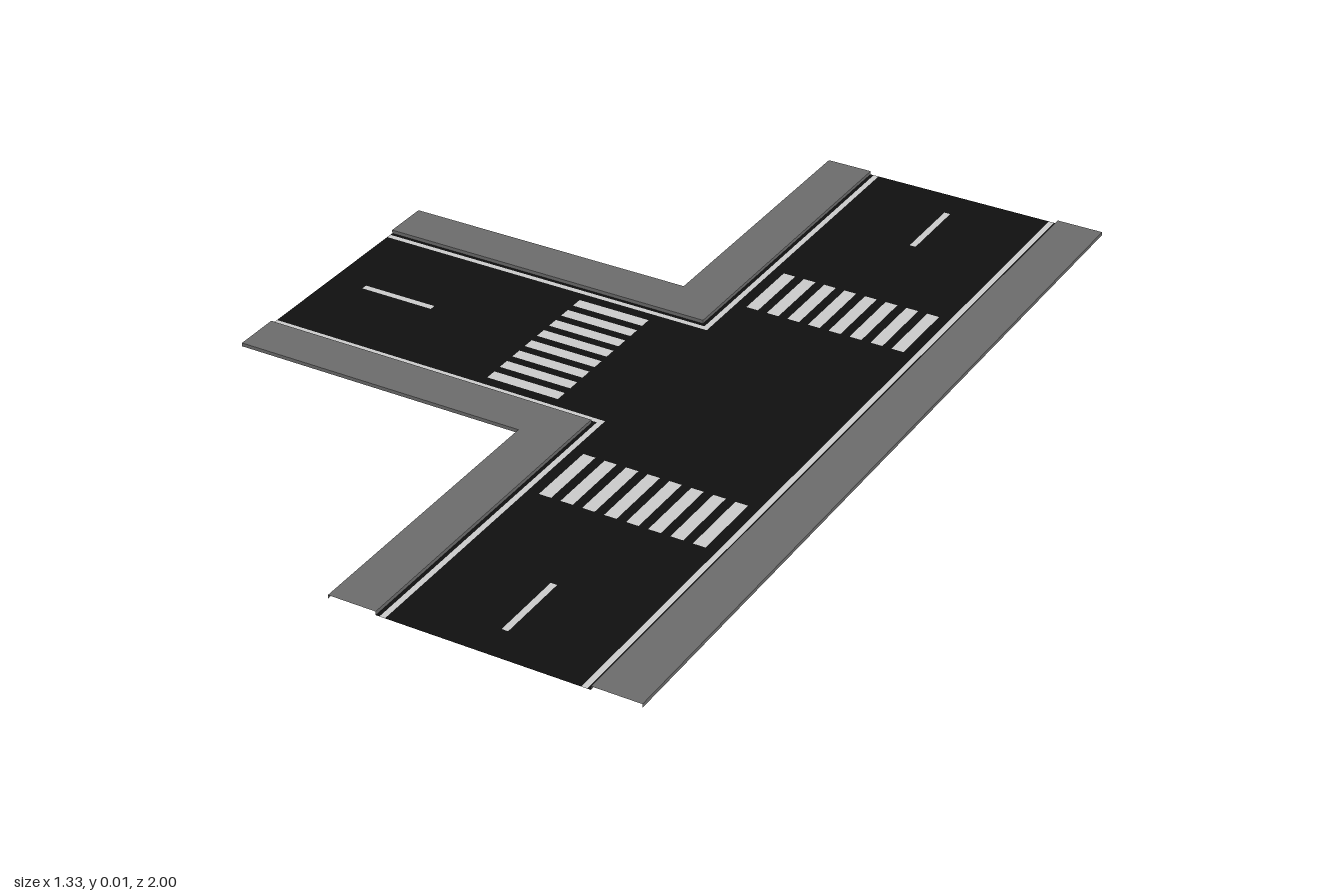
import * as THREE from 'three';

const CX = 0.333;      // centre line of the through road
const WEST = -0.667;   // end of the side road
const CURB = 0.008;    // pavement height
const LINE_IN = 0.208, LINE_OUT = 0.22, ROAD_EDGE = 0.228, WALK_EDGE = 0.333;

const material = (color) => new THREE.MeshStandardMaterial({ color, roughness: 0.9, side: THREE.DoubleSide });

// The three kerb lines at distance d from the road centre lines, in plan (x, -z)
const kerbLines = (d) => [
  [[WEST, d], [CX - d, d], [CX - d, 1]],
  [[WEST, -d], [CX - d, -d], [CX - d, -1]],
  [[CX + d, -1], [CX + d, 1]],
];

const toPoints = (list) => list.map(([x, y]) => new THREE.Vector2(x, y));

// Flat strips between two distances from the centre lines
function strips(a, b) {
  const outer = kerbLines(b);
  return kerbLines(a).map((line, i) => new THREE.Shape(toPoints([...line, ...outer[i].reverse()])));
}

// Plan rectangle given by centre and size
function rectangle(x, y, w, h) {
  return toPoints([
    [x - w / 2, y - h / 2], [x + w / 2, y - h / 2],
    [x + w / 2, y + h / 2], [x - w / 2, y + h / 2],
  ]);
}

export function createModel() {
  const group = new THREE.Group();
  const asphalt = material(0x101010);
  const paint = material(0xcccccc);
  const paving = material(0x6c6c6c);

  function addFlat(name, shapes, mat, y = 0) {
    const geometry = new THREE.ShapeGeometry(shapes);
    geometry.rotateX(-Math.PI / 2);
    const mesh = new THREE.Mesh(geometry, mat);
    mesh.name = name;
    mesh.position.y = y;
    group.add(mesh);
  }

  // Upright faces along the kerb lines at distance d
  function addWalls(name, d) {
    const walls = new THREE.Group();
    walls.name = name;
    for (const line of kerbLines(d)) {
      for (let i = 1; i < line.length; i++) {
        const [x0, y0] = line[i - 1], [x1, y1] = line[i];
        const wall = new THREE.Mesh(
          new THREE.PlaneGeometry(Math.hypot(x1 - x0, y1 - y0), CURB), paving);
        wall.position.set((x0 + x1) / 2, CURB / 2, -(y0 + y1) / 2);
        wall.rotation.y = Math.atan2(y1 - y0, x1 - x0);
        walls.add(wall);
      }
    }
    group.add(walls);
  }

  // Zebra crossings, eight bars on each arm
  const crossings = [], dashes = [];
  for (let i = 0; i < 8; i++) {
    const offset = (i - 3.5) * 0.0484;
    crossings.push(rectangle(-0.083, offset, 0.167, 0.0275));
    for (const side of [-1, 1]) {
      crossings.push(rectangle(CX + offset, side * 0.418, 0.0275, 0.167));
    }
  }

  // Centre dashes
  dashes.push(rectangle(-0.502, 0, 0.172, 0.014));
  for (const side of [-1, 1]) dashes.push(rectangle(CX, side * 0.835, 0.014, 0.172));

  // Road surface, open where the paint is inlaid
  const d = LINE_IN;
  const road = new THREE.Shape(toPoints([
    [WEST, -d], [CX - d, -d], [CX - d, -1], [CX + d, -1],
    [CX + d, 1], [CX - d, 1], [CX - d, d], [WEST, d],
  ]));
  road.holes = [...crossings, ...dashes].map((points) => new THREE.Path(points));
  addFlat('roadSurface', [road], asphalt);
  addFlat('crossingBars', crossings.map((p) => new THREE.Shape(p)), paint);
  addFlat('centreDashes', dashes.map((p) => new THREE.Shape(p)), paint);

  // Edge lines, gutters and raised pavements
  addFlat('edgeLines', strips(LINE_IN, LINE_OUT), paint);
  addFlat('gutters', strips(LINE_OUT, ROAD_EDGE), asphalt);
  addFlat('pavements', strips(ROAD_EDGE, WALK_EDGE), paving, CURB);
  addWalls('kerbFaces', ROAD_EDGE);
  addWalls('pavementOuterFaces', WALK_EDGE);

  return group;
}
